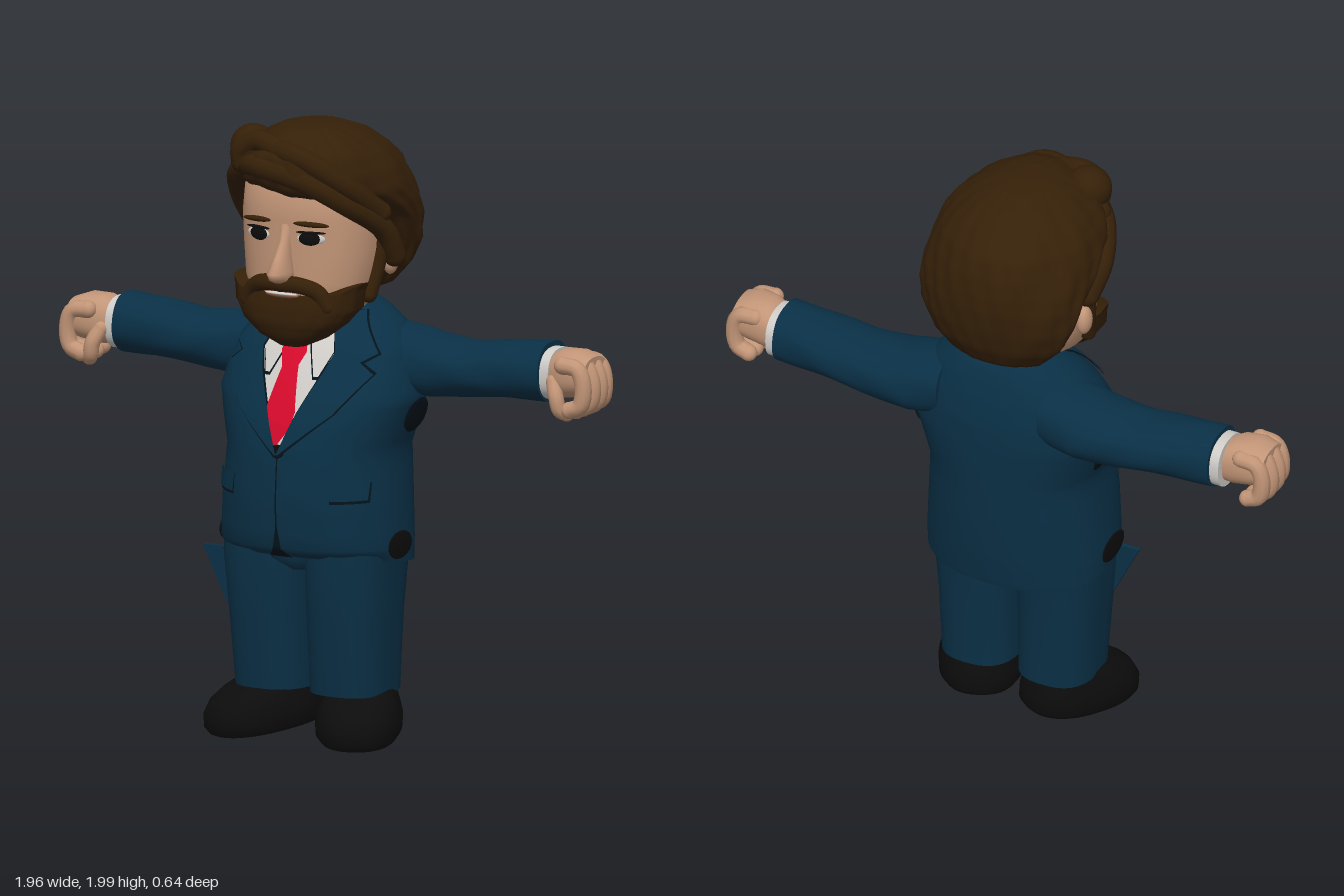
import * as THREE from 'three';
import { mergeGeometries } from 'three/addons/utils/BufferGeometryUtils.js';

const mat = (name, color) => Object.assign(new THREE.MeshStandardMaterial({ color }), { name });
const M = {
  suit: mat('suit blue', 0x0a3046), seam: mat('seam dark blue', 0x04121b), hair: mat('hair brown', 0x352008),
  skin: mat('skin', 0xc29577), shirt: mat('shirt white', 0xcfccc8), tie: mat('tie red', 0xd60a2c),
  black: mat('shoe black', 0x0c0c0d), lip: mat('lip', 0x8a5a47),
};

// Section: [height, half width, front z, back z, centre x]
function sectionAt(secs, y) {
  let i = 0;
  while (i < secs.length - 2 && y > secs[i + 1][0]) i++;
  const a = secs[i], b = secs[i + 1];
  const t = THREE.MathUtils.clamp((y - a[0]) / (b[0] - a[0]), 0, 1);
  return [0, 1, 2, 3, 4].map(k => THREE.MathUtils.lerp(a[k] ?? 0, b[k] ?? 0, t));
}

// Closed skin over superellipse sections stacked along y
function loft(secs, { n = 2.4, sub = 1, seg = 48, bump = () => 1, lift = () => 0 } = {}) {
  const pos = [], idx = [], ys = [];
  secs.forEach((s, i) => {
    if (i) for (let k = 1; k <= sub; k++) ys.push(THREE.MathUtils.lerp(secs[i - 1][0], s[0], k / sub));
    else ys.push(s[0]);
  });
  const ring = y => {
    const [, rx, f, b, cx] = sectionAt(secs, y);
    for (let j = 0; j < seg; j++) {
      const a = (j / seg) * Math.PI * 2, c = Math.cos(a), s = Math.sin(a), m = bump(a, y);
      const x = Math.sign(c) * Math.abs(c) ** (2 / n), z = Math.sign(s) * Math.abs(s) ** (2 / n);
      pos.push(cx + rx * m * x, y + lift(x, z, y), (f + b) / 2 + ((f - b) / 2) * m * z);
    }
    return [cx, y, (f + b) / 2];
  };
  ys.forEach(ring);
  for (let i = 0; i < ys.length - 1; i++) for (let j = 0; j < seg; j++) {
    const a = i * seg + j, d = i * seg + (j + 1) % seg;
    idx.push(a, a + seg, d + seg, a, d + seg, d);
  }
  [ys[0], ys[ys.length - 1]].forEach((y, top) => {
    const o = pos.length / 3;
    pos.push(...ring(y));
    for (let j = 0; j < seg; j++) {
      const p = o + j, q = o + (j + 1) % seg;
      idx.push(o + seg, top ? q : p, top ? p : q);
    }
  });
  return indexed(pos, idx);
}

function indexed(pos, idx) {
  const g = new THREE.BufferGeometry();
  g.setAttribute('position', new THREE.Float32BufferAttribute(pos, 3));
  g.setIndex(idx);
  g.computeVertexNormals();
  return g;
}

// Round-ended tube through points
function limb(pts, r) {
  const v = pts.map(p => new THREE.Vector3(...p));
  const ends = [v[0], v[v.length - 1]].map(p => new THREE.SphereGeometry(r, 12, 8).translate(p.x, p.y, p.z));
  return mergeGeometries([new THREE.TubeGeometry(new THREE.CatmullRomCurve3(v), 18, r, 10), ...ends]);
}

const ball = (x, y, z, rx, ry, rz) => new THREE.SphereGeometry(1, 20, 14).scale(rx, ry, rz).translate(x, y, z);

function add(parent, name, geo, material) {
  const m = new THREE.Mesh(geo, material);
  m.name = name;
  parent.add(m);
  return m;
}

const JACKET_ROUNDNESS = 2.25;
const JACKET = [
  [0.59, 0.308, 0.28, -0.17], [0.65, 0.312, 0.335, -0.185], [0.8, 0.302, 0.345, -0.2], [0.95, 0.29, 0.335, -0.21],
  [1.05, 0.32, 0.31, -0.215], [1.12, 0.342, 0.28, -0.215], [1.2, 0.325, 0.24, -0.212], [1.28, 0.298, 0.19, -0.197],
  [1.34, 0.25, 0.14, -0.18], [1.38, 0.195, 0.1, -0.165], [1.41, 0.14, 0.05, -0.145], [1.425, 0.1, 0, -0.125],
];

// Thin cloth patch following the jacket front; rows are [y, left x, right x] from top to bottom
function patch(rows, off) {
  const pos = [], idx = [], cols = 8, steps = 6, n = JACKET_ROUNDNESS;
  const line = (y, l, r) => {
    const [, rx, f, b] = sectionAt(JACKET, y);
    for (let j = 0; j <= cols; j++) {
      const x = l + (r - l) * j / cols, k = Math.min(1, Math.abs(x) / (rx + off));
      pos.push(x, y, (f + b) / 2 + ((f - b) / 2 + off) * (1 - k ** n) ** (1 / n));
    }
  };
  rows.forEach((row, i) => {
    if (!i) return line(...row);
    for (let k = 1; k <= steps; k++) line(...row.map((v, c) => THREE.MathUtils.lerp(rows[i - 1][c], v, k / steps)));
  });
  const count = pos.length / 3 / (cols + 1);
  for (let i = 0; i < count - 1; i++) for (let j = 0; j < cols; j++) {
    const a = i * (cols + 1) + j, b = a + cols + 1;
    idx.push(a, b, b + 1, a, b + 1, a + 1);
  }
  return indexed(pos, idx);
}
const flip = rows => rows.map(([y, l, r]) => [y, -r, -l]);

function buildHead() {
  const head = new THREE.Group();
  head.name = 'head';
  head.position.x = -0.015;
  add(head, 'neck', new THREE.CylinderGeometry(0.13, 0.13, 0.2, 24).translate(0, 1.42, -0.01), M.skin);
  add(head, 'face', loft([[1.36, 0.13, 0.2, 0], [1.42, 0.19, 0.25, -0.08], [1.5, 0.215, 0.26, -0.12],
    [1.6, 0.228, 0.255, -0.14], [1.7, 0.23, 0.262, -0.14], [1.8, 0.22, 0.26, -0.14], [1.88, 0.17, 0.2, -0.1]]), M.skin);
  add(head, 'nose', loft([[1.5, 0.022, 0.3, 0.22], [1.515, 0.036, 0.335, 0.22], [1.54, 0.034, 0.356, 0.22],
    [1.59, 0.022, 0.315, 0.22], [1.64, 0.018, 0.28, 0.22], [1.69, 0.025, 0.262, 0.22]], { n: 2, seg: 20 }), M.skin);

  // Beard with a top edge that climbs the cheeks
  add(head, 'beard', loft([[1.288, 0.045, 0.24, 0.16], [1.32, 0.115, 0.27, 0.12], [1.37, 0.178, 0.287, 0.08],
    [1.42, 0.215, 0.287, 0.04], [1.46, 0.228, 0.28, 0.03]],
  { sub: 3, bump: (a, y) => 1 + 0.012 * Math.sin(14 * a + 30 * y), lift: (x, z, y) => y > 1.42 ? 0.04 * Math.abs(x) ** 4 : 0 }), M.hair);
  add(head, 'mouth', ball(0, 1.463, 0.277, 0.06, 0.01, 0.015), M.lip);
  add(head, 'teeth', ball(0, 1.468, 0.283, 0.06, 0.005, 0.012), M.shirt);
  for (const s of [-1, 1]) {
    add(head, 'moustache', limb([[0, 1.5, 0.285], [s * 0.06, 1.499, 0.277], [s * 0.115, 1.477, 0.254], [s * 0.145, 1.43, 0.24]], 0.027), M.hair);
    add(head, 'ear', ball(s * 0.238, 1.555, 0.0, 0.025, 0.05, 0.033), M.skin);
    add(head, 'sideburn', limb([[s * 0.235, 1.66, 0.04], [s * 0.222, 1.55, 0.055], [s * 0.207, 1.45, 0.085]], 0.027), M.hair);
    const eye = new THREE.Group();
    eye.name = 'eye';
    eye.position.set(s * 0.096 - 0.008, 1.648, 0.246);
    eye.rotation.y = s * 0.25;
    add(eye, 'eyeWhite', ball(0, 0, 0, 0.047, 0.019, 0.008), M.shirt);
    add(eye, 'iris', ball(-s * 0.004, 0, 0.004, 0.036, 0.022, 0.007), M.black);
    add(eye, 'upperLid', ball(0, 0.02, 0.002, 0.05, 0.005, 0.008), M.black);
    add(eye, 'eyebrow', ball(0, 0.047, 0.006, 0.06, 0.009, 0.012).rotateZ(-s * 0.04), M.hair);
    head.add(eye);
  }

  // Swept hair: ridged cap, fringe locks and a curl
  const sweep = (x, z, y) => y > 1.7 && y < 1.92 ? -0.035 * x * Math.max(z, 0) * Math.sin((y - 1.7) / 0.22 * Math.PI) : 0;
  add(head, 'hair', loft([[1.42, 0.1, -0.06, -0.18], [1.45, 0.168, -0.035, -0.22], [1.52, 0.23, -0.015, -0.258],
    [1.6, 0.264, 0.01, -0.278], [1.68, 0.279, 0.08, -0.287], [1.74, 0.285, 0.18, -0.285], [1.8, 0.28, 0.29, -0.275],
    [1.86, 0.258, 0.315, -0.25], [1.91, 0.222, 0.305, -0.2], [1.955, 0.165, 0.26, -0.13], [1.985, 0.1, 0.2, -0.04],
    [1.995, 0.04, 0.14, 0.04]],
  { n: 1.95, sub: 4, seg: 96, lift: sweep, bump: (a, y) => 1 + 0.013 * Math.sin(9 * a + 18 * y) + 0.01 * Math.sin(21 * a - 24 * y) }), M.hair);
  const locks = [
    [[-0.2, 1.85, 0.18], [-0.1, 1.872, 0.272], [0.07, 1.84, 0.275], [0.18, 1.765, 0.2], [0.25, 1.66, 0.06], [0.258, 1.57, 0.01]],
    [[-0.12, 1.92, 0.22], [0.05, 1.915, 0.27], [0.18, 1.83, 0.21], [0.245, 1.72, 0.08]],
    [[-0.14, 1.87, 0.24], [-0.215, 1.82, 0.18], [-0.255, 1.73, 0.09], [-0.235, 1.63, 0.03]],
    [[-0.04, 1.93, 0.25], [-0.11, 1.945, 0.24], [-0.17, 1.91, 0.24], [-0.17, 1.87, 0.235]],
  ];
  locks.forEach(p => add(head, 'hairLock', limb(p, 0.037), M.hair));
  add(head, 'hairCurl', ball(-0.15, 1.918, 0.2, 0.075, 0.072, 0.072), M.hair);
  return head;
}

function buildArm() {
  const arm = new THREE.Group();
  arm.name = 'arm';
  add(arm, 'sleeve', loft([[0.18, 0.11, 0.06, -0.19, -1.24], [0.3, 0.11, 0.062, -0.2, -1.218], [0.36, 0.102, 0.06, -0.195, -1.212],
    [0.5, 0.088, 0.053, -0.185, -1.215], [0.65, 0.092, 0.045, -0.175, -1.23], [0.78, 0.098, 0.035, -0.168, -1.236]],
  { n: 2.2, sub: 4, bump: (a, y) => 1 + 0.014 * Math.sin(5 * a + 26 * y) }).rotateZ(-Math.PI / 2), M.suit);
  add(arm, 'cuff', loft([[0.75, 0.084, 0.022, -0.153, -1.232], [0.812, 0.084, 0.022, -0.153, -1.232]]).rotateZ(-Math.PI / 2), M.shirt);
  add(arm, 'palm', loft([[0.79, 0.065, 0.005, -0.125, -1.232], [0.84, 0.08, 0.03, -0.13, -1.24], [0.9, 0.076, 0.042, -0.13, -1.246],
    [0.95, 0.062, 0.035, -0.12, -1.242]]).rotateZ(-Math.PI / 2), M.skin);
  [-0.108, -0.063, -0.017, 0.028].forEach((z, i) => {
    const d = i === 0 || i === 3 ? 0.008 : 0;
    add(arm, 'finger', limb([[0.87, 1.287 - d, z], [0.925, 1.278 - d, z], [0.953 - d, 1.22, z], [0.943 - d, 1.155, z], [0.895, 1.128 + d, z]], 0.028), M.skin);
  });
  add(arm, 'thumb', limb([[0.83, 1.22, 0.015], [0.85, 1.175, 0.035], [0.86, 1.135, 0.03], [0.875, 1.12, 0.01]], 0.025), M.skin);
  return arm;
}

function buildLeg() {
  const leg = new THREE.Group();
  leg.name = 'leg';
  add(leg, 'trouserLeg', loft([[0.16, 0.129, 0.222, -0.07, 0.137], [0.4, 0.135, 0.25, -0.08, 0.142],
    [0.6, 0.142, 0.272, -0.1, 0.148], [0.72, 0.142, 0.26, -0.12, 0.148]], { n: 2.6 }), M.suit);
  const shoe = add(leg, 'shoe', loft([[0, 0.122, 0.2, -0.185], [0.02, 0.136, 0.213, -0.2], [0.06, 0.138, 0.211, -0.2],
    [0.1, 0.128, 0.185, -0.195], [0.13, 0.116, 0.13, -0.19], [0.155, 0.104, 0.05, -0.18], [0.17, 0.09, 0.01, -0.165]]), M.black);
  shoe.position.set(0.17, 0.024, 0.107);
  shoe.rotation.set(0.1, 0.42, 0, 'YXZ');
  return leg;
}

export function createModel() {
  const root = new THREE.Group();
  root.name = 'suitedMan';
  root.add(buildHead());

  // Jacket, with a hem lower at the back
  add(root, 'jacket', loft(JACKET, { n: JACKET_ROUNDNESS, sub: 3, lift: (x, z, y) => y < 0.62 ? 0.025 * z : 0 }), M.suit);
  add(root, 'hips', loft([[0.56, 0.04, 0.22, -0.06], [0.6, 0.15, 0.265, -0.1], [0.7, 0.27, 0.27, -0.12]]), M.suit);

  // Shirt, tie and front closure
  add(root, 'shirtFront', patch([[1.39, -0.11, 0.11], [1.3, -0.15, 0.15], [1.12, -0.075, 0.075], [0.97, 0, 0]], 0.005), M.shirt);
  add(root, 'tieBlade', patch([[1.23, -0.036, 0.02], [1.09, -0.062, 0.046], [1.04, -0.05, 0.037], [0.98, -0.01, -0.006]], 0.012), M.tie);
  add(root, 'tieKnot', patch([[1.3, -0.045, 0.03], [1.27, -0.054, 0.038], [1.215, -0.032, 0.016]], 0.018), M.tie);
  add(root, 'frontSeam', patch([[0.96, -0.002, 0.002], [0.72, -0.003, 0.003], [0.65, -0.015, 0.015], [0.62, -0.04, 0.04]], 0.004), M.seam);
  const button = add(root, 'button', new THREE.CylinderGeometry(0.022, 0.022, 0.012, 16).rotateX(Math.PI / 2), M.black);
  button.position.set(0, 0.965, 0.336);

  // Collar points, lapels and pocket flaps on both sides
  const pieces = [
    ['collarEdge', [[1.37, 0.04, 0.13], [1.31, 0.03, 0.138], [1.19, 0.078, 0.098]], 0.007, M.seam],
    ['collarPoint', [[1.37, 0.04, 0.13], [1.31, 0.035, 0.138], [1.2, 0.08, 0.096]], 0.009, M.shirt],
    ['lapelEdge', [[1.39, 0.08, 0.165], [1.27, 0.127, 0.262], [1.245, 0.118, 0.225], [1.215, 0.106, 0.266], [1.09, 0.05, 0.175], [0.95, -0.004, 0.012]], 0.01, M.seam],
    ['lapel', [[1.39, 0.083, 0.162], [1.274, 0.131, 0.256], [1.248, 0.122, 0.215], [1.212, 0.11, 0.26], [1.09, 0.053, 0.169], [0.955, 0, 0.006]], 0.015, M.suit],
    ['pocketEdge', [[0.87, 0.175, 0.272], [0.805, 0.175, 0.272]], 0.004, M.seam],
    ['pocketFlap', [[0.876, 0.172, 0.272], [0.815, 0.178, 0.27]], 0.008, M.suit],
  ];
  for (const [name, rows, off, m] of pieces) {
    add(root, name, patch(rows, off), m);
    add(root, name, patch(flip(rows), off), m);
  }

  // Limbs, mirrored, with dark vents at the hip and armpit
  for (const s of [1, -1]) {
    for (const part of [buildArm(), buildLeg()]) {
      part.name = (s > 0 ? 'left ' : 'right ') + part.name;
      part.scale.x = s;
      root.add(part);
    }
    add(root, 'hipVent', ball(s * 0.31, 0.65, 0.09, 0.006, 0.045, 0.075), M.black);
    const armpit = add(root, 'armpitVent', ball(0, 0, 0, 0.006, 0.06, 0.07), M.seam);
    armpit.position.set(s * 0.322, 1.06, 0.01);
    armpit.rotation.z = -s * 0.3;
  }

  // Loose cloth point at the right hip
  const fold = new THREE.Shape([[-0.36, 0.6], [-0.26, 0.4], [-0.25, 0.6]].map(p => new THREE.Vector2(...p)));
  add(root, 'trouserFold', new THREE.ExtrudeGeometry(fold, { depth: 0.015, bevelEnabled: false }).translate(0, 0, 0.17), M.suit);
  return root;
}
